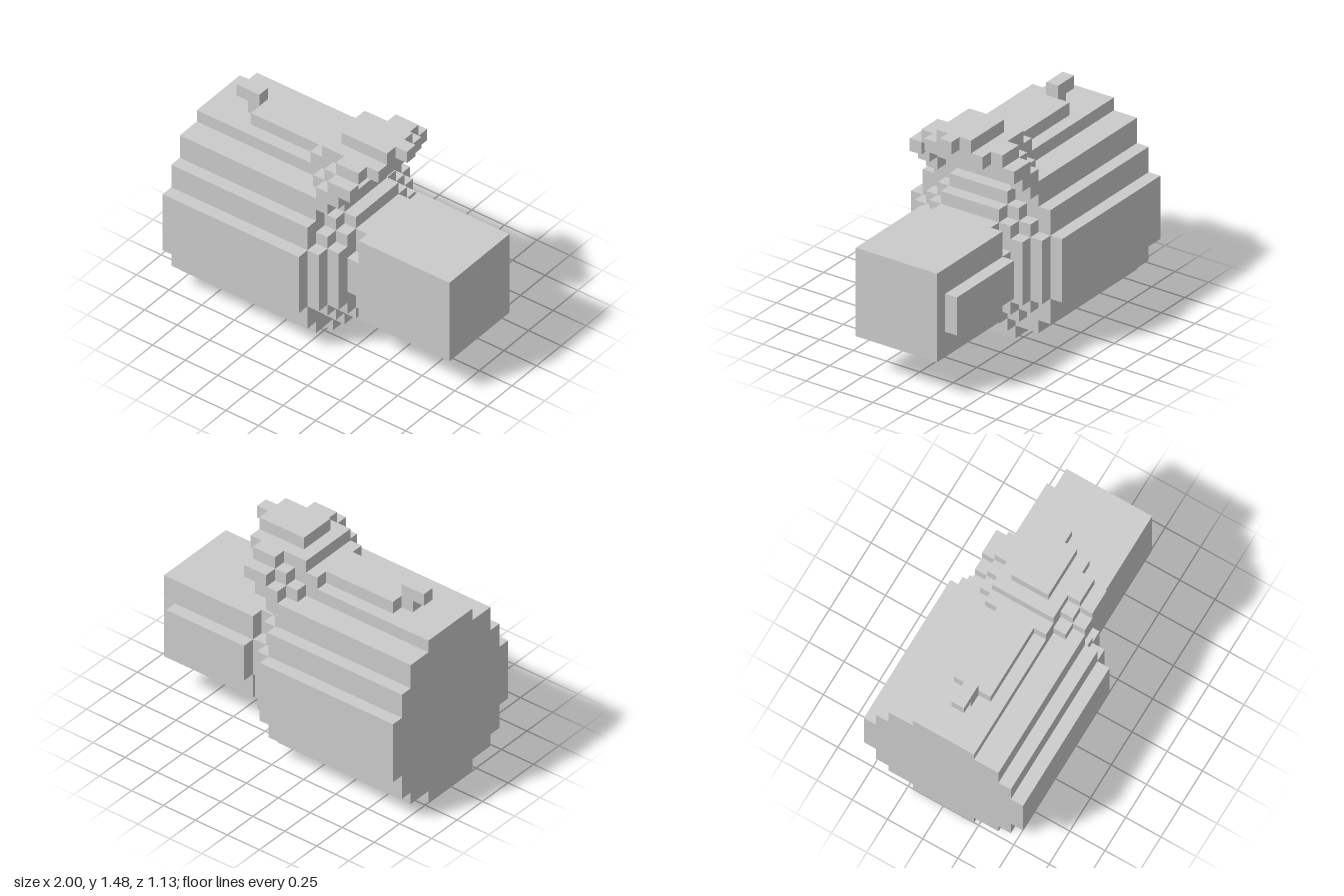
import * as THREE from 'three';

const U = 2 / 23; // one block of the grid

export function createModel() {
  const model = new THREE.Group();
  const material = new THREE.MeshStandardMaterial({ color: 0xcccccc, flatShading: true });

  // Box from block coordinates: x from 0 to 23, y from 0 to 17, z centred
  function block(parent, x0, x1, y0, y1, z0, z1) {
    const mesh = new THREE.Mesh(
      new THREE.BoxGeometry((x1 - x0) * U, (y1 - y0) * U, (z1 - z0) * U), material);
    mesh.position.set(((x0 + x1) / 2 - 11.5) * U, (y0 + y1) / 2 * U, (z0 + z1) / 2 * U);
    mesh.name = parent.name + 'Block';
    parent.add(mesh);
  }
  const centred = (parent, x0, x1, y0, y1, half) => block(parent, x0, x1, y0, y1, -half, half);
  function pair(parent, x0, x1, y0, y1, inner, outer) {
    block(parent, x0, x1, y0, y1, inner, outer);
    block(parent, x0, x1, y0, y1, -outer, -inner);
  }
  function part(name) {
    const group = new THREE.Group();
    group.name = name;
    model.add(group);
    return group;
  }

  // Barrel-shaped body: layers of [bottom, top, half width]
  const body = part('body');
  for (const [y0, y1, half] of [
    [0, 1, 2.5], [1, 2, 4.5], [2, 4, 5.5], [4, 9, 6.5],
    [9, 11, 5.5], [11, 13, 4.5], [13, 14, 2.5],
  ]) centred(body, 0, 12, y0, y1, half);

  // Two stepped rings on the front of the body
  const rings = part('steppedRings');
  for (const [x, y0, y1, half] of [
    [12, 1, 12, 2.5], [12, 2, 11, 3.5], [12, 3, 10, 4.5], [12, 4, 9, 5.5],
    [13, 2, 11, 2.5], [13, 3, 10, 3.5], [13, 4, 9, 4.5],
  ]) centred(rings, x, x + 1, y0, y1, half);

  // Square block reaching out, with a notched neck
  const arm = part('arm');
  centred(arm, 15, 23, 3, 10, 3.5);
  centred(arm, 14, 15, 3, 10, 2.5);
  centred(arm, 14, 15, 5, 8, 3.5);

  // Raised plate on one side of the arm
  const plate = part('sidePlate');
  block(plate, 15, 22, 5, 8, -4.5, -3.5);

  // Ridge along the top
  const ridge = part('ridge');
  centred(ridge, 4, 10, 14, 15, 1.5);
  centred(ridge, 10, 12, 14, 15, 2.5);

  // Small hooked tab at the end of the ridge
  const tab = part('tab');
  centred(tab, 3, 4, 14, 15, 0.5);
  centred(tab, 2, 4, 15, 16, 0.5);

  // Hood leaning forward over the rings
  const hood = part('hood');
  centred(hood, 11, 13, 13, 14, 2.5);
  centred(hood, 11, 14, 14, 15, 2.5);
  centred(hood, 11, 16, 15, 16, 2.5);
  centred(hood, 12, 16, 16, 17, 1.5);
  centred(hood, 16, 17, 16, 17, 0.5);

  // Stair-like flaps on both sides of the hood
  const flaps = part('hoodFlaps');
  pair(flaps, 11, 13, 13, 14, 2.5, 3.5);
  pair(flaps, 12, 14, 14, 15, 2.5, 3.5);
  pair(flaps, 13, 15, 15, 16, 2.5, 3.5);
  pair(flaps, 12, 13, 12, 13, 3.5, 4.5);
  pair(flaps, 12, 14, 13, 14, 3.5, 4.5);
  pair(flaps, 13, 15, 14, 15, 3.5, 4.5);

  return model;
}
